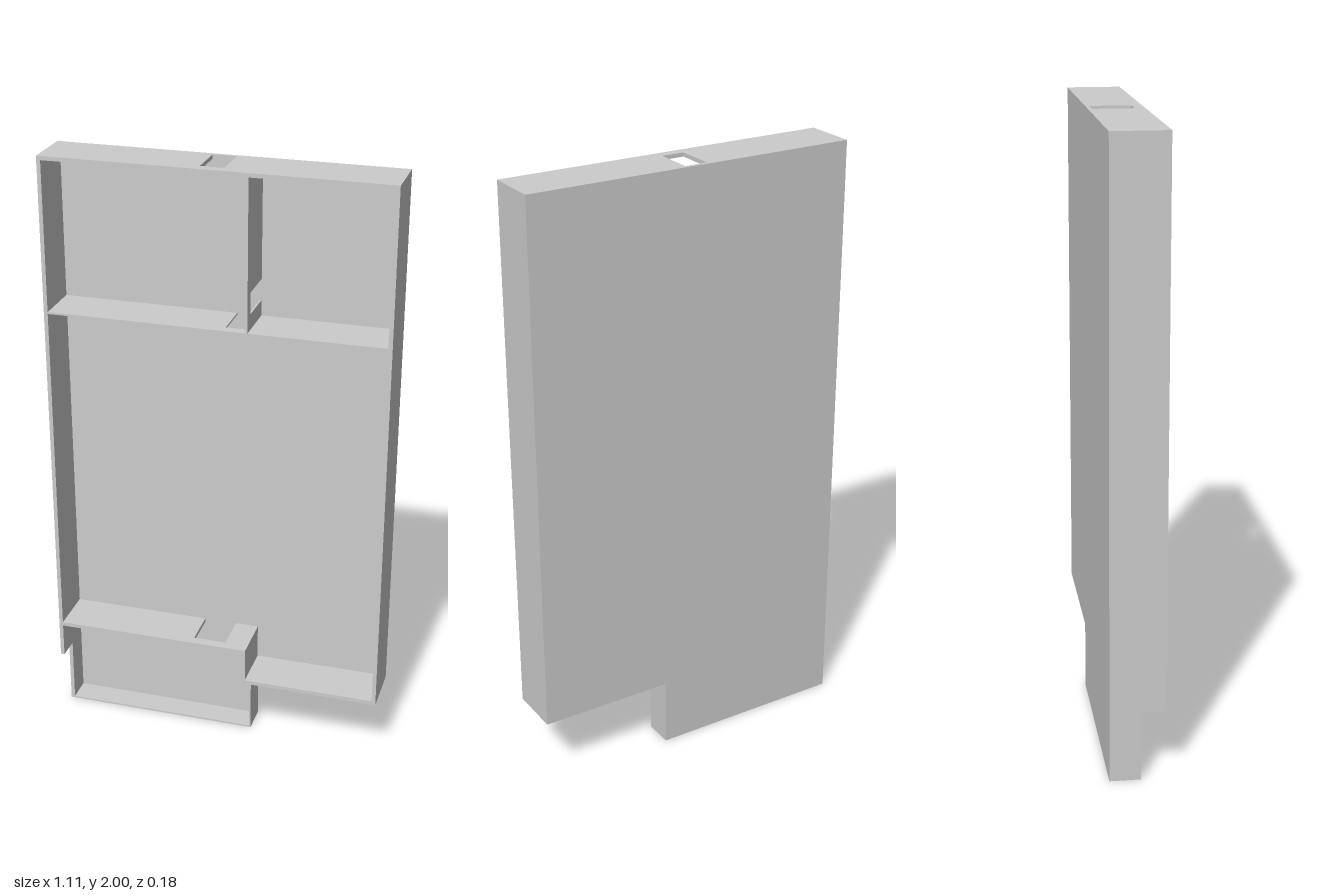
import * as THREE from 'three';

const W = 0.557, TOP = 2, STEP = 0.23, SHELF = 0.36; // half width and main heights
const BACK = -0.088, INNER = -0.075, FRONT = 0.088, LIP = 0.01; // depths
const NOTCH = 0.055; // front end of every cable opening
const T = 0.013, THIN = 0.006; // wall thicknesses
const SPLIT = 0.108; // right edge of the lower bay

export function createModel() {
  const group = new THREE.Group();
  const material = new THREE.MeshStandardMaterial({ color: 0xcccccc, side: THREE.DoubleSide });

  const add = (name, geometry) => {
    const mesh = new THREE.Mesh(geometry, material);
    mesh.name = name;
    group.add(mesh);
    return mesh;
  };

  // Box given by its limits
  const slab = (name, x0, x1, y0, y1, z0, z1) =>
    add(name, new THREE.BoxGeometry(x1 - x0, y1 - y0, z1 - z0))
      .position.set((x0 + x1) / 2, (y0 + y1) / 2, (z0 + z1) / 2);

  // Panel from a to b with an opening n0..n1 cut in from the back plate;
  // its upper face lies at y = 0
  const notched = (a, b, n0, n1, thickness) => {
    const shape = new THREE.Shape([
      [a, INNER], [n0, INNER], [n0, NOTCH], [n1, NOTCH], [n1, INNER],
      [b, INNER], [b, FRONT], [a, FRONT],
    ].map(([u, v]) => new THREE.Vector2(u, v)));
    return new THREE.ExtrudeGeometry(shape, { depth: thickness, bevelEnabled: false })
      .rotateX(Math.PI / 2);
  };

  // Back plate, continuing down behind the lower bay
  const plate = new THREE.Shape([
    [-W, 0], [SPLIT, 0], [SPLIT, STEP], [W, STEP], [W, TOP], [-W, TOP],
  ].map(([x, y]) => new THREE.Vector2(x, y)));
  add('backPlate', new THREE.ExtrudeGeometry(plate, { depth: INNER - BACK, bevelEnabled: false }))
    .position.z = BACK;

  // Outer walls of the main tray
  slab('leftWall', W - T, W, STEP, TOP - T, INNER, FRONT);
  slab('rightWall', -W, -W + T, STEP, TOP - T, INNER, FRONT);
  slab('trayFloor', SPLIT, W - T, STEP, STEP + T, INNER, FRONT);
  slab('stepWall', SPLIT - THIN, SPLIT, STEP, SHELF - T, INNER, FRONT);
  add('topWall', notched(-W, W, -0.05, 0.025, T)).position.y = TOP;

  // Shelves and upright divider with cable openings
  add('lowerShelf', notched(-W + T, SPLIT, -0.08, 0.03, T)).position.y = SHELF;
  add('upperShelf', notched(-W + T, W - T, 0.03, SPLIT - THIN, THIN)).position.y = 1.499;
  add('uprightDivider', notched(1.499, TOP - T, 1.55, 1.62, THIN).rotateZ(Math.PI / 2))
    .position.x = SPLIT - THIN;

  // Shallow lower bay
  slab('bayRightWall', -W, -W + T, 0, STEP, INNER, LIP);
  slab('bayLeftWall', SPLIT - THIN, SPLIT, 0, STEP, INNER, LIP);
  slab('bayFloor', -W + T, SPLIT - THIN, 0, THIN, INNER, LIP);

  return group;
}
